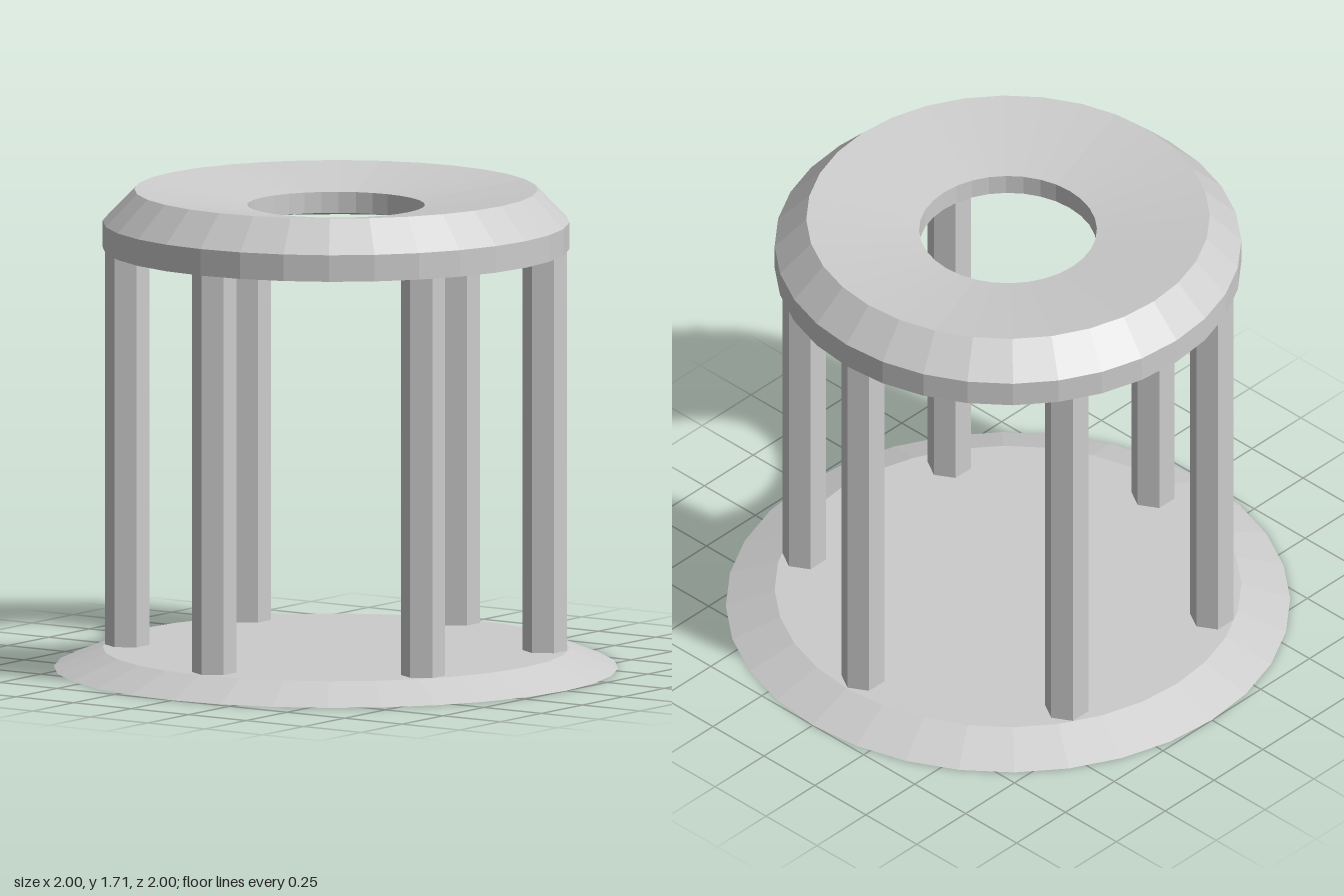
import * as THREE from 'three';

const SIDES = 32;

// Faceted solid of revolution from [radius, height] pairs, listed bottom to top
function turned(name, profile, material) {
  const points = profile.map(([r, y]) => new THREE.Vector2(r, y));
  const mesh = new THREE.Mesh(new THREE.LatheGeometry(points, SIDES), material);
  mesh.name = name;
  return mesh;
}

export function createModel() {
  const model = new THREE.Group();
  model.name = 'pavilion';
  const stone = new THREE.MeshStandardMaterial({ color: 0xcccccc, flatShading: true });
  stone.name = 'grey stone';

  // Low base with a sloped edge
  model.add(turned('base', [[0, 0], [1, 0], [0.827, 0.07], [0, 0.07]], stone));

  // Ring roof: bevelled rim, top dished towards a central opening, raised underside
  model.add(turned('roof', [
    [0.315, 1.58], [0.827, 1.5], [0.827, 1.595], [0.715, 1.71], [0.315, 1.655], [0.315, 1.58],
  ], stone));

  // Six hexagonal columns, their tops set into the roof
  const bottom = 0.065, top = 1.53;
  const columnGeometry = new THREE.CylinderGeometry(0.079, 0.079, top - bottom, 6);
  const columns = new THREE.Group();
  columns.name = 'columns';
  for (let i = 0; i < 6; i++) {
    const angle = (i * Math.PI) / 3;
    const column = new THREE.Mesh(columnGeometry, stone);
    column.name = 'column';
    column.position.set(0.743 * Math.sin(angle), (top + bottom) / 2, 0.743 * Math.cos(angle));
    columns.add(column);
  }
  model.add(columns);

  return model;
}
